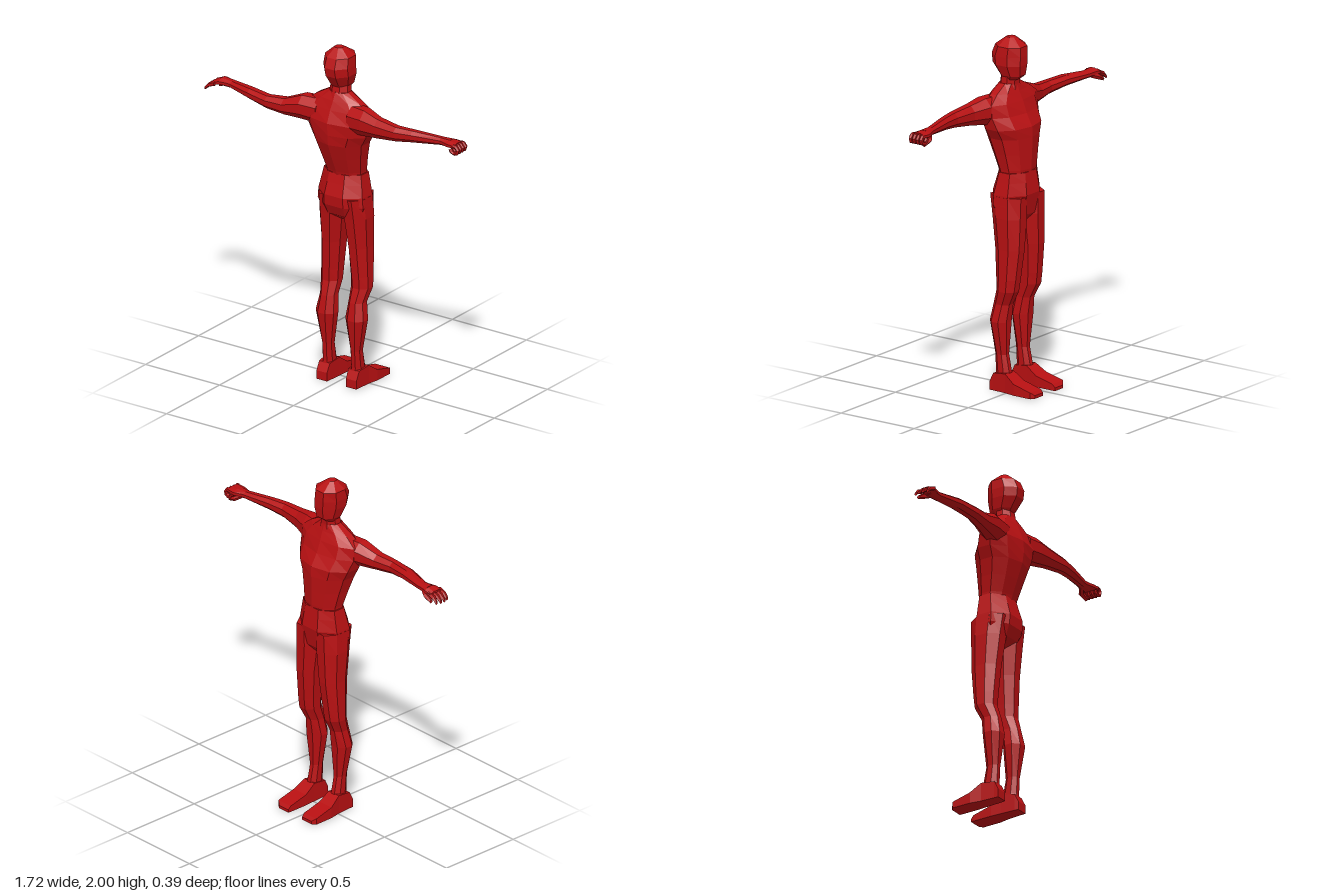
import * as THREE from 'three';

const red = new THREE.MeshStandardMaterial({ color: 0xb81012, flatShading: true });
red.name = 'red';

const CX = 0.015; // mid-line of the body

// Loft along an axis (0 x, 1 y, 2 z). Each ring: [position, aMin, aMax, bMin, bMax],
// where a and b are the axes before and after the loft axis (y: x,z  x: z,y  z: y,x).
function loft(name, axis, rings, sides = 8) {
  const A = (axis + 2) % 3, B = (axis + 1) % 3;
  const k = 1 / Math.cos(Math.PI / sides);
  const loops = rings.map(([p, a0, a1, b0, b1]) => {
    const loop = [];
    for (let j = 0; j < sides; j++) {
      const t = ((j + 0.5) / sides) * Math.PI * 2;
      const v = [0, 0, 0];
      v[axis] = p;
      v[A] = (a0 + a1) / 2 + ((a1 - a0) / 2) * k * Math.cos(t);
      v[B] = (b0 + b1) / 2 + ((b1 - b0) / 2) * k * Math.sin(t);
      loop.push(v);
    }
    return loop;
  });
  const flip = rings[rings.length - 1][0] < rings[0][0];
  const pos = [];
  const tri = (a, b, c) => (flip ? pos.push(...a, ...c, ...b) : pos.push(...a, ...b, ...c));
  for (let i = 0; i + 1 < loops.length; i++) {
    for (let j = 0; j < sides; j++) {
      const n = (j + 1) % sides, lo = loops[i], hi = loops[i + 1];
      tri(lo[j], hi[j], hi[n]);
      tri(lo[j], hi[n], lo[n]);
    }
  }
  const first = loops[0], last = loops[loops.length - 1];
  for (let j = 1; j + 1 < sides; j++) {
    tri(first[0], first[j], first[j + 1]);
    tri(last[0], last[j + 1], last[j]);
  }
  const geo = new THREE.BufferGeometry();
  geo.setAttribute('position', new THREE.Float32BufferAttribute(pos, 3));
  geo.computeVertexNormals();
  const mesh = new THREE.Mesh(geo, red);
  mesh.name = name;
  return mesh;
}

// Turns an x range measured outward from the mid-line into a model range
const span = (s, lo, hi) => (s > 0 ? [CX + lo, CX + hi] : [CX - hi, CX - lo]);

export function createModel() {
  const figure = new THREE.Group();
  figure.name = 'figure';

  // Head and neck (the face looks towards -z)
  figure.add(loft('head', 1, [
    [1.765, -0.035, 0.06, 0.02, 0.11],
    [1.79, -0.05, 0.075, -0.01, 0.13],
    [1.85, -0.065, 0.095, -0.018, 0.17],
    [1.9, -0.07, 0.093, -0.018, 0.178],
    [1.955, -0.068, 0.088, -0.015, 0.155],
    [2.0, -0.02, 0.03, 0.05, 0.1],
  ]));
  figure.add(loft('neck', 1, [
    [1.66, -0.07, 0.1, 0.01, 0.15],
    [1.74, -0.045, 0.075, 0.025, 0.125],
    [1.8, -0.04, 0.07, 0.025, 0.115],
  ]));

  // Torso tapering from shoulders to waist
  figure.add(loft('torso', 1, [
    [1.22, -0.1, 0.13, -0.06, 0.1],
    [1.27, -0.105, 0.135, -0.066, 0.115],
    [1.36, -0.125, 0.15, -0.068, 0.15],
    [1.45, -0.15, 0.17, -0.07, 0.183],
    [1.51, -0.18, 0.205, -0.068, 0.19],
    [1.58, -0.2, 0.22, -0.03, 0.192],
    [1.65, -0.2, 0.22, -0.005, 0.165],
    [1.7, -0.13, 0.16, 0.015, 0.145],
    [1.745, -0.05, 0.08, 0.03, 0.125],
  ], 10));

  // Pelvis
  figure.add(loft('pelvis', 1, [
    [0.97, -0.04, 0.07, -0.03, 0.06],
    [1.01, -0.12, 0.15, -0.065, 0.115],
    [1.07, -0.138, 0.168, -0.075, 0.142],
    [1.13, -0.133, 0.163, -0.085, 0.146],
    [1.2, -0.12, 0.15, -0.075, 0.125],
    [1.255, -0.11, 0.14, -0.067, 0.11],
  ]));

  // Legs and feet, mirrored about the mid-line
  for (const s of [1, -1]) {
    const side = s > 0 ? 'left' : 'right';
    const legRings = [
      [0.04, 0.062, 0.13, 0.0, 0.1],
      [0.11, 0.064, 0.128, 0.0, 0.09],
      [0.21, 0.065, 0.126, 0.02, 0.095],
      [0.4, 0.04, 0.16, 0.008, 0.12],
      [0.5, 0.05, 0.143, -0.005, 0.1],
      [0.58, 0.046, 0.158, -0.045, 0.075],
      [0.65, 0.042, 0.157, -0.055, 0.078],
      [0.82, 0.028, 0.153, -0.073, 0.09],
      [1.0, 0.005, 0.157, -0.078, 0.112],
      [1.12, 0.01, 0.15, -0.08, 0.13],
    ].map(([y, lo, hi, z0, z1]) => [y, ...span(s, lo, hi), z0, z1]);
    figure.add(loft(side + 'Leg', 1, legRings));

    const footRings = [
      [0.115, 0, 0.05, 0.065, 0.135],
      [0.09, 0, 0.1, 0.062, 0.135],
      [0.005, 0, 0.11, 0.058, 0.14],
      [-0.06, 0, 0.065, 0.054, 0.152],
      [-0.175, 0, 0.036, 0.054, 0.153],
      [-0.192, 0, 0.018, 0.056, 0.13],
    ].map(([z, y0, y1, lo, hi]) => [z, y0, y1, ...span(s, lo, hi)]);
    figure.add(loft(side + 'Foot', 2, footRings, 4));
  }

  // Arms: [x, back and front z, bottom and top y]
  figure.add(loft('leftArm', 0, [
    [0.12, 0.03, 0.17, 1.53, 1.69],
    [0.22, 0.05, 0.182, 1.54, 1.69],
    [0.32, 0.088, 0.185, 1.555, 1.668],
    [0.45, 0.108, 0.187, 1.572, 1.655],
    [0.55, 0.098, 0.168, 1.585, 1.652],
    [0.72, 0.073, 0.13, 1.6, 1.642],
    [0.78, 0.06, 0.135, 1.598, 1.642],
  ]));
  figure.add(loft('rightArm', 0, [
    [-0.09, 0.03, 0.17, 1.53, 1.68],
    [-0.2, 0.05, 0.18, 1.54, 1.68],
    [-0.31, 0.09, 0.187, 1.545, 1.638],
    [-0.42, 0.11, 0.19, 1.557, 1.63],
    [-0.55, 0.09, 0.17, 1.575, 1.635],
    [-0.7, 0.062, 0.125, 1.588, 1.628],
    [-0.77, 0.055, 0.125, 1.588, 1.632],
  ]));

  // Left hand: palm with curled fingers
  const leftHand = new THREE.Group();
  leftHand.name = 'leftHand';
  leftHand.add(loft('palm', 0, [
    [0.73, 0.072, 0.128, 1.602, 1.64],
    [0.78, 0.052, 0.143, 1.6, 1.64],
    [0.83, 0.055, 0.145, 1.605, 1.637],
  ]));
  for (let i = 0; i < 4; i++) {
    const z = 0.064 + i * 0.024;
    const path = new THREE.CatmullRomCurve3([
      [0.82, 1.624], [0.847, 1.618], [0.846, 1.59], [0.815, 1.582], [0.8, 1.605],
    ].map(([x, y]) => new THREE.Vector3(x, y, z)));
    const finger = new THREE.Mesh(new THREE.TubeGeometry(path, 6, 0.012, 5), red);
    finger.name = 'finger';
    leftHand.add(finger);
  }
  leftHand.add(loft('thumb', 0, [
    [0.74, 0.075, 0.1, 1.6, 1.62],
    [0.775, 0.05, 0.08, 1.577, 1.602],
    [0.82, 0.055, 0.078, 1.563, 1.582],
  ], 5));
  figure.add(leftHand);

  // Right hand: open palm with drooping fingers
  const rightHand = new THREE.Group();
  rightHand.name = 'rightHand';
  rightHand.add(loft('palm', 0, [
    [-0.72, 0.064, 0.125, 1.592, 1.628],
    [-0.77, 0.05, 0.135, 1.592, 1.63],
    [-0.81, 0.055, 0.145, 1.588, 1.615],
  ]));
  for (let i = 0; i < 4; i++) {
    const z = 0.062 + i * 0.026, reach = -0.852 - (i === 1 || i === 2 ? 0.008 : 0);
    rightHand.add(loft('finger', 0, [
      [-0.79, z - 0.01, z + 0.012, 1.592, 1.615],
      [-0.83, z - 0.008, z + 0.012, 1.577, 1.6],
      [reach, z - 0.006, z + 0.01, 1.557, 1.575],
    ], 5));
  }
  rightHand.add(loft('thumb', 0, [
    [-0.73, 0.065, 0.09, 1.588, 1.615],
    [-0.77, 0.045, 0.07, 1.572, 1.6],
    [-0.815, 0.048, 0.066, 1.555, 1.572],
  ], 5));
  figure.add(rightHand);

  return figure;
}
